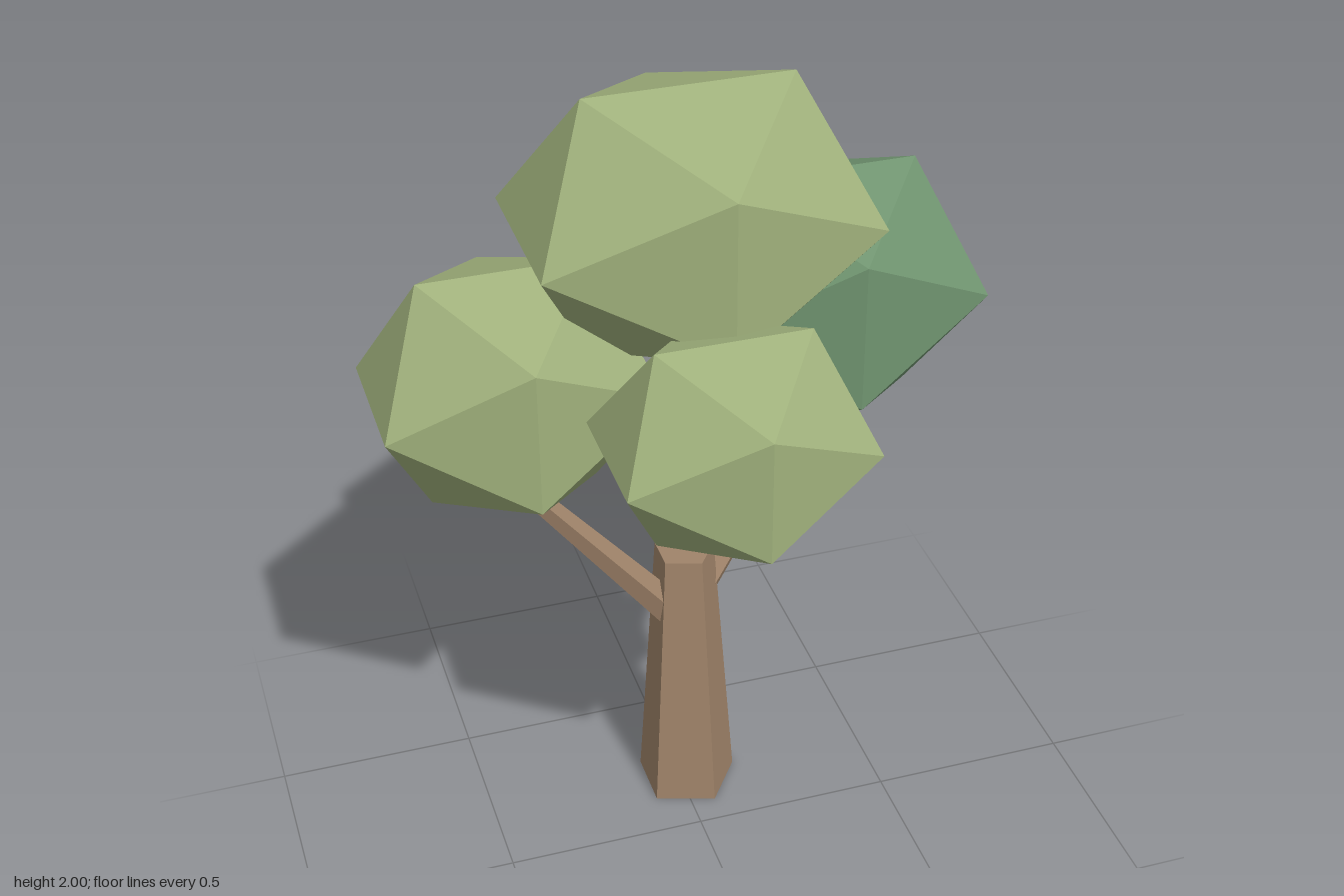
import * as THREE from 'three';

function material(name, color) {
  const m = new THREE.MeshStandardMaterial({ color, flatShading: true });
  m.name = name;
  return m;
}

export function createModel() {
  const tree = new THREE.Group();
  tree.name = 'tree';
  const bark = material('bark', 0xa0846a);
  const leaf = material('leafGreen', 0xa0b17c);
  const darkLeaf = material('darkLeafGreen', 0x709470);

  // Tapered five-sided limb between two points
  function limb(name, from, to, r0, r1) {
    const a = new THREE.Vector3(...from);
    const dir = new THREE.Vector3(...to).sub(a);
    const length = dir.length();
    const geo = new THREE.CylinderGeometry(r1, r0, length, 5, 1, false, Math.PI / 2);
    geo.translate(0, length / 2, 0);
    const mesh = new THREE.Mesh(geo, bark);
    mesh.name = name;
    mesh.position.copy(a);
    mesh.quaternion.setFromUnitVectors(new THREE.Vector3(0, 1, 0), dir.normalize());
    tree.add(mesh);
  }

  // Faceted foliage clump, stretched along each axis
  function clump(name, mat, center, radii) {
    const mesh = new THREE.Mesh(new THREE.IcosahedronGeometry(1, 0), mat);
    mesh.name = name;
    mesh.position.set(...center);
    mesh.scale.set(...radii);
    tree.add(mesh);
  }

  // Trunk and the two branches
  limb('trunk', [0.021, 0, -0.193], [0.018, 0.74, -0.193], 0.129, 0.077);
  limb('rightBranch', [-0.01, 0.55, -0.19], [-0.405, 1.055, -0.158], 0.044, 0.024);
  limb('leftBranch', [0.06, 0.59, -0.213], [0.424, 1.033, -0.349], 0.043, 0.024);

  // Crown
  clump('topFoliage', leaf, [0.022, 1.689, -0.15], [0.461, 0.366, 0.393]);
  clump('rightFoliage', leaf, [-0.4, 1.31, -0.181], [0.376, 0.341, 0.326]);
  clump('frontFoliage', leaf, [0.003, 1.333, 0.225], [0.338, 0.291, 0.307]);
  clump('leftFoliage', darkLeaf, [0.37, 1.417, -0.215], [0.406, 0.351, 0.32]);

  return tree;
}
